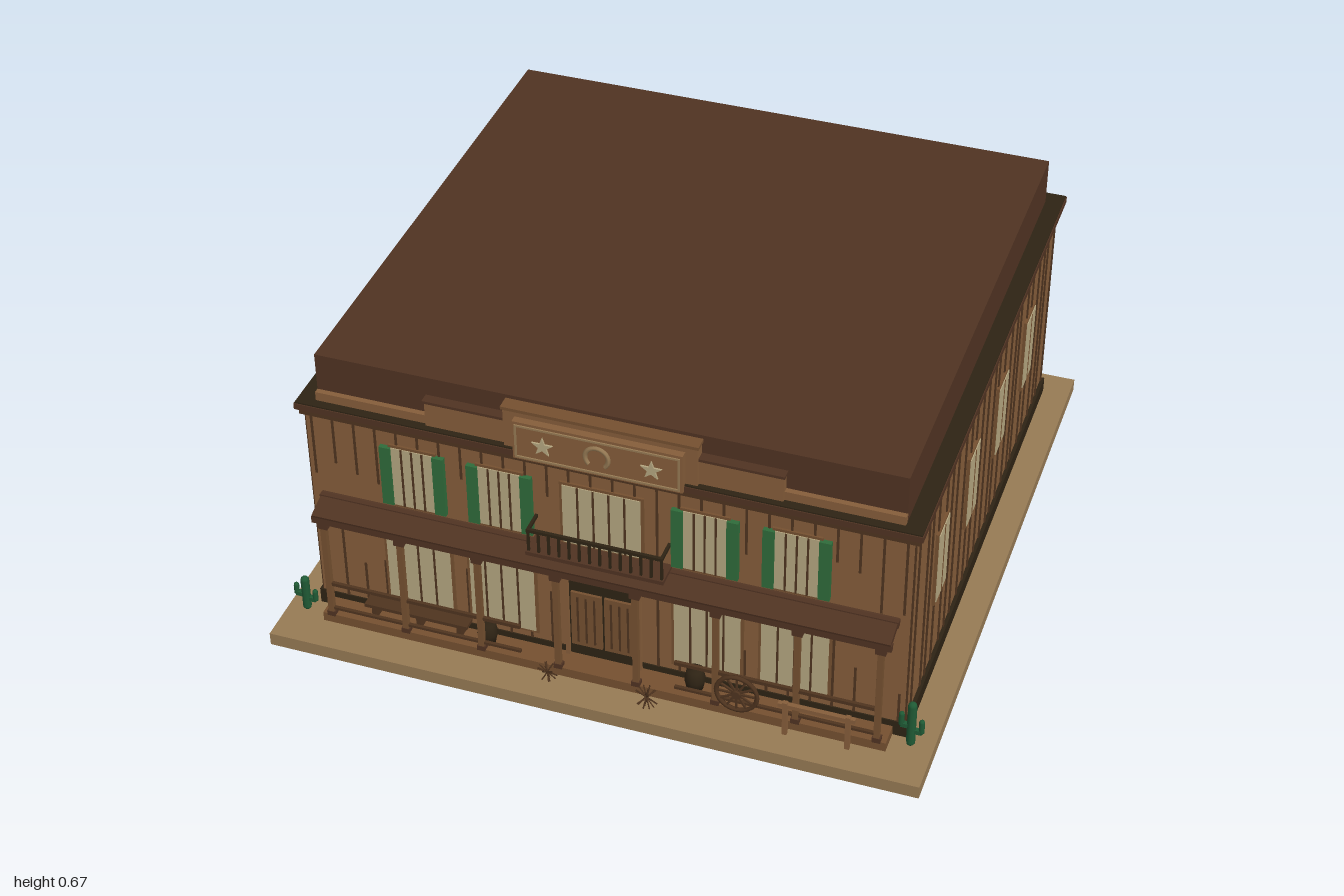
import * as THREE from 'three';

const mat = (name, color) => Object.assign(new THREE.MeshStandardMaterial({ color }), { name });
const M = {
  wall: mat('plank brown', 0x855d3a),
  roof: mat('roof brown', 0x503322),
  sand: mat('sand tan', 0x967a54),
  dark: mat('dark timber', 0x2e2314),
  batten: mat('batten brown', 0x4f341f),
  pane: mat('pale glass', 0xb5a680),
  shutter: mat('shutter green', 0x2f6b3a),
  cactus: mat('cactus green', 0x1f5a35),
  frame: mat('frame brown', 0x755030),
};

export function createModel() {
  const root = new THREE.Group();
  root.name = 'frontierSaloon';
  let seed = 7;
  const rand = () => (seed = (seed * 16807) % 2147483647) / 2147483647;

  const add = (name, geo, m, x = 0, y = 0, z = 0, parent = root) => {
    const mesh = new THREE.Mesh(geo, m);
    mesh.name = name;
    mesh.position.set(x, y, z);
    parent.add(mesh);
    return mesh;
  };
  // Box given by its limits on each axis
  const box = (name, m, x0, x1, y0, y1, z0, z1, parent = root) =>
    add(name, new THREE.BoxGeometry(x1 - x0, y1 - y0, z1 - z0), m,
      (x0 + x1) / 2, (y0 + y1) / 2, (z0 + z1) / 2, parent);
  const group = (name, x = 0, y = 0, z = 0, ry = 0) => {
    const g = new THREE.Group();
    g.name = name;
    g.position.set(x, y, z);
    g.rotation.y = ry;
    root.add(g);
    return g;
  };

  // Ground slab, walls, plinth, cornice and roof block
  box('groundSlab', M.sand, -0.7, 0.7, 0, 0.03, -0.67, 0.73);
  box('walls', M.wall, -0.632, 0.632, 0.03, 0.55, -0.6, 0.6);
  box('plinth', M.dark, -0.64, 0.64, 0.03, 0.066, -0.607, 0.603);
  box('corniceMoulding', M.batten, -0.642, 0.642, 0.535, 0.548, -0.608, 0.608);
  box('cornice', M.roof, -0.65, 0.65, 0.548, 0.562, -0.618, 0.613);
  box('corniceTop', M.dark, -0.648, 0.648, 0.562, 0.565, -0.616, 0.611);
  box('roofBlock', M.roof, -0.61, 0.61, 0.565, 0.67, -0.58, 0.58);

  // Each wall is a group whose local +z points outwards
  const sides = [
    { name: 'leftWall', x: 0.632, z: 0, ry: Math.PI / 2, half: 0.595, n: 25 },
    { name: 'rightWall', x: -0.632, z: 0, ry: -Math.PI / 2, half: 0.595, n: 25 },
    { name: 'backWall', x: 0, z: -0.6, ry: Math.PI, half: 0.625, n: 6 },
  ];
  for (const s of sides) {
    const g = group(s.name, s.x, 0, s.z, s.ry);
    for (let i = 0; i < s.n; i++) {
      const x = -s.half + (2 * s.half * i) / (s.n - 1) + (i % (s.n - 1) ? (rand() - 0.5) * 0.025 : 0);
      box('batten', M.batten, x - 0.0035, x + 0.0035, 0.066, 0.537, 0, 0.003, g);
    }
    for (const x of [-0.375, -0.125, 0.125, 0.375]) {
      box('windowFrame', M.frame, x - 0.045, x + 0.045, 0.225, 0.41, 0, 0.006, g);
      box('windowPane', M.pane, x - 0.039, x + 0.039, 0.231, 0.404, 0.005, 0.008, g);
      box('mullion', M.frame, x - 0.002, x + 0.002, 0.231, 0.404, 0.007, 0.009, g);
    }
  }

  // Front wall: short staggered plank joints
  for (let i = 0; i < 28; i++) {
    const x = -0.62 + i * 0.0459, y = 0.34 + rand() * 0.12;
    box('plankJoint', M.batten, x - 0.0025, x + 0.0025, y, 0.537, 0.599, 0.602);
    box('lowerPlankJoint', M.batten, x - 0.0025, x + 0.0025, 0.06, 0.14 + rand() * 0.16, 0.599, 0.602);
  }
  const frontWindow = (x, w, y0, y1, bars, shutters) => {
    const g = group('frontWindow', x, 0, 0.6);
    box('windowFrame', M.frame, -w - 0.006, w + 0.006, y0 - 0.006, y1 + 0.006, 0, 0.005, g);
    box('windowPane', M.pane, -w, w, y0, y1, 0.004, 0.007, g);
    for (let i = 1; i <= bars; i++) {
      const bx = -w + (2 * w * i) / (bars + 1);
      box('mullion', M.batten, bx - 0.002, bx + 0.002, y0, y1, 0.006, 0.009, g);
    }
    if (shutters) for (const s of [-1, 1]) {
      const c = s * (w + 0.012);
      box('shutter', M.shutter, c - 0.012, c + 0.012, y0, y1, 0, 0.011, g);
    }
  };
  for (const s of [-1, 1]) {
    for (const x of [0.215, 0.402]) frontWindow(s * x, 0.045, 0.35, 0.495, 3, true);
    for (const x of [0.22, 0.403]) frontWindow(s * x, 0.07, 0.09, 0.262, 3, false);
  }
  frontWindow(0, 0.082, 0.35, 0.495, 4, false);

  // Doorway with slatted swing doors
  box('doorway', M.dark, -0.078, 0.078, 0.055, 0.275, 0.598, 0.606);
  for (const s of [-1, 1]) {
    const g = group('swingDoor', s * 0.036, 0, 0.606);
    box('doorLeaf', M.frame, -0.033, 0.033, 0.085, 0.225, 0, 0.006, g);
    for (let i = -1; i <= 1; i++)
      box('doorSlat', M.batten, i * 0.018 - 0.002, i * 0.018 + 0.002, 0.095, 0.215, 0.005, 0.008, g);
    box('doorJamb', M.wall, s * 0.042 - 0.004, s * 0.042 + 0.004, 0.055, 0.28, 0, 0.008, g);
  }

  // Stepped false front with sign board
  box('falseFrontLow', M.wall, -0.61, 0.61, 0.56, 0.585, 0.578, 0.592);
  box('falseFrontMid', M.wall, -0.37, 0.37, 0.56, 0.622, 0.578, 0.598);
  box('falseFrontMidCap', M.roof, -0.373, 0.373, 0.622, 0.628, 0.578, 0.602);
  box('falseFrontHigh', M.wall, -0.2, 0.2, 0.552, 0.655, 0.575, 0.606);
  box('falseFrontCap', M.frame, -0.203, 0.203, 0.655, 0.662, 0.575, 0.61);
  box('signBoard', M.wall, -0.175, 0.175, 0.552, 0.642, 0.605, 0.622);
  for (const [x0, x1, y0, y1] of [[-0.17, 0.17, 0.632, 0.636], [-0.17, 0.17, 0.557, 0.561],
    [-0.17, -0.166, 0.557, 0.636], [0.166, 0.17, 0.557, 0.636]])
    box('signBorder', M.sand, x0, x1, y0, y1, 0.621, 0.625);
  const star = new THREE.Shape(Array.from({ length: 10 }, (_, i) => {
    const r = i % 2 ? 0.009 : 0.023, a = Math.PI / 2 + (i * Math.PI) / 5;
    return new THREE.Vector2(r * Math.cos(a), r * Math.sin(a));
  }));
  const starGeo = new THREE.ExtrudeGeometry(star, { depth: 0.005, bevelEnabled: false });
  for (const s of [-1, 1]) add('starOrnament', starGeo, M.pane, s * 0.112, 0.595, 0.621);
  const shoe = add('horseshoe', new THREE.TorusGeometry(0.024, 0.005, 6, 20, Math.PI * 1.5), M.sand, 0, 0.595, 0.623);
  shoe.rotation.z = -Math.PI / 4;

  // Porch deck, sloping canopy, posts and rails
  box('porchDeck', M.frame, -0.61, 0.61, 0.03, 0.052, 0.6, 0.655);
  const canopy = add('porchCanopy', new THREE.BoxGeometry(1.22, 0.014, 0.064), M.roof, 0, 0.323, 0.629);
  canopy.rotation.x = 0.3;
  box('canopyFascia', M.roof, -0.612, 0.612, 0.3, 0.316, 0.648, 0.66);
  box('canopyLedger', M.roof, -0.612, 0.612, 0.322, 0.338, 0.6, 0.614);
  for (let i = 0; i < 8; i++) {
    const x = -0.59 + i * 0.1686;
    box('porchPost', M.frame, x - 0.006, x + 0.006, 0.05, 0.302, 0.645, 0.657);
    box('postCapital', M.roof, x - 0.011, x + 0.011, 0.286, 0.302, 0.641, 0.659);
    box('postFoot', M.roof, x - 0.009, x + 0.009, 0.05, 0.062, 0.643, 0.658);
  }
  for (const s of [-1, 1]) {
    const c = s * 0.378;
    box('porchRail', M.batten, c - 0.212, c + 0.212, 0.131, 0.139, 0.647, 0.654);
    box('porchLowRail', M.batten, c - 0.212, c + 0.212, 0.066, 0.072, 0.647, 0.654);
  }

  // Balcony
  box('balconyFloor', M.roof, -0.145, 0.145, 0.337, 0.346, 0.6, 0.655);
  box('balconyRail', M.dark, -0.143, 0.143, 0.394, 0.401, 0.645, 0.652);
  for (const s of [-1, 1]) box('balconySideRail', M.dark, s * 0.14 - 0.003, s * 0.14 + 0.003, 0.394, 0.401, 0.6, 0.65);
  for (let i = 0; i < 14; i++) {
    const x = -0.14 + (i * 0.28) / 13;
    box('baluster', M.dark, x - 0.0025, x + 0.0025, 0.344, 0.396, 0.646, 0.651);
  }

  // Bench, barrels and trough on the porch
  box('benchSeat', M.batten, -0.52, -0.29, 0.08, 0.088, 0.61, 0.64);
  for (const x of [-0.5, -0.4, -0.31]) box('benchLeg', M.batten, x - 0.005, x + 0.005, 0.052, 0.08, 0.612, 0.638);
  const barrel = new THREE.LatheGeometry([[0, 0], [0.017, 0], [0.022, 0.025], [0.017, 0.05], [0, 0.05]]
    .map(([x, y]) => new THREE.Vector2(x, y)), 12);
  add('barrel', barrel, M.dark, -0.25, 0.052, 0.626);
  add('barrel', barrel, M.dark, 0.2, 0.052, 0.622);

  // Wagon wheel leaning by the rail
  const wheel = group('wagonWheel', 0.302, 0.103, 0.665);
  add('wheelRim', new THREE.TorusGeometry(0.043, 0.005, 6, 24), M.batten, 0, 0, 0, wheel);
  const hub = add('wheelHub', new THREE.CylinderGeometry(0.01, 0.01, 0.014, 10), M.batten, 0, 0, 0, wheel);
  hub.rotation.x = Math.PI / 2;
  for (let i = 0; i < 6; i++)
    add('wheelSpoke', new THREE.BoxGeometry(0.086, 0.004, 0.004), M.batten, 0, 0, 0, wheel).rotation.z = (i * Math.PI) / 6;

  // Hitching rail
  box('hitchingRail', M.wall, 0.39, 0.55, 0.103, 0.112, 0.664, 0.674);
  for (const x of [0.405, 0.535]) box('hitchingPost', M.wall, x - 0.005, x + 0.005, 0.03, 0.115, 0.664, 0.674);

  // Tumbleweeds from crossing twigs
  for (const [x, z, r] of [[-0.1, 0.675, 0.022], [0.118, 0.685, 0.026]]) {
    const g = group('tumbleweed', x, 0.03 + r, z);
    for (let i = 0; i < 9; i++)
      add('twig', new THREE.CylinderGeometry(0.0016, 0.0016, 2 * r, 4), M.batten, 0, 0, 0, g)
        .rotation.set(rand() * 3.14, rand() * 3.14, rand() * 3.14);
  }

  // Cacti with two bent arms
  const cactus = (x, z, h) => {
    const g = group('cactus', x, 0.03, z);
    const r = 0.0095;
    add('cactusTrunk', new THREE.CapsuleGeometry(r, h - 2 * r, 4, 8), M.cactus, 0, h / 2, 0, g);
    for (const s of [-1, 1]) {
      const y = h * (s > 0 ? 0.35 : 0.45);
      box('cactusElbow', M.cactus, s * 0.011 - 0.011, s * 0.011 + 0.011, y - 0.005, y + 0.005, -0.005, 0.005, g);
      add('cactusArm', new THREE.CapsuleGeometry(0.006, h * 0.22, 4, 8), M.cactus, s * 0.021, y + h * 0.12, 0, g);
    }
  };
  cactus(-0.658, 0.632, 0.088);
  cactus(0.652, 0.62, 0.115);

  return root;
}
